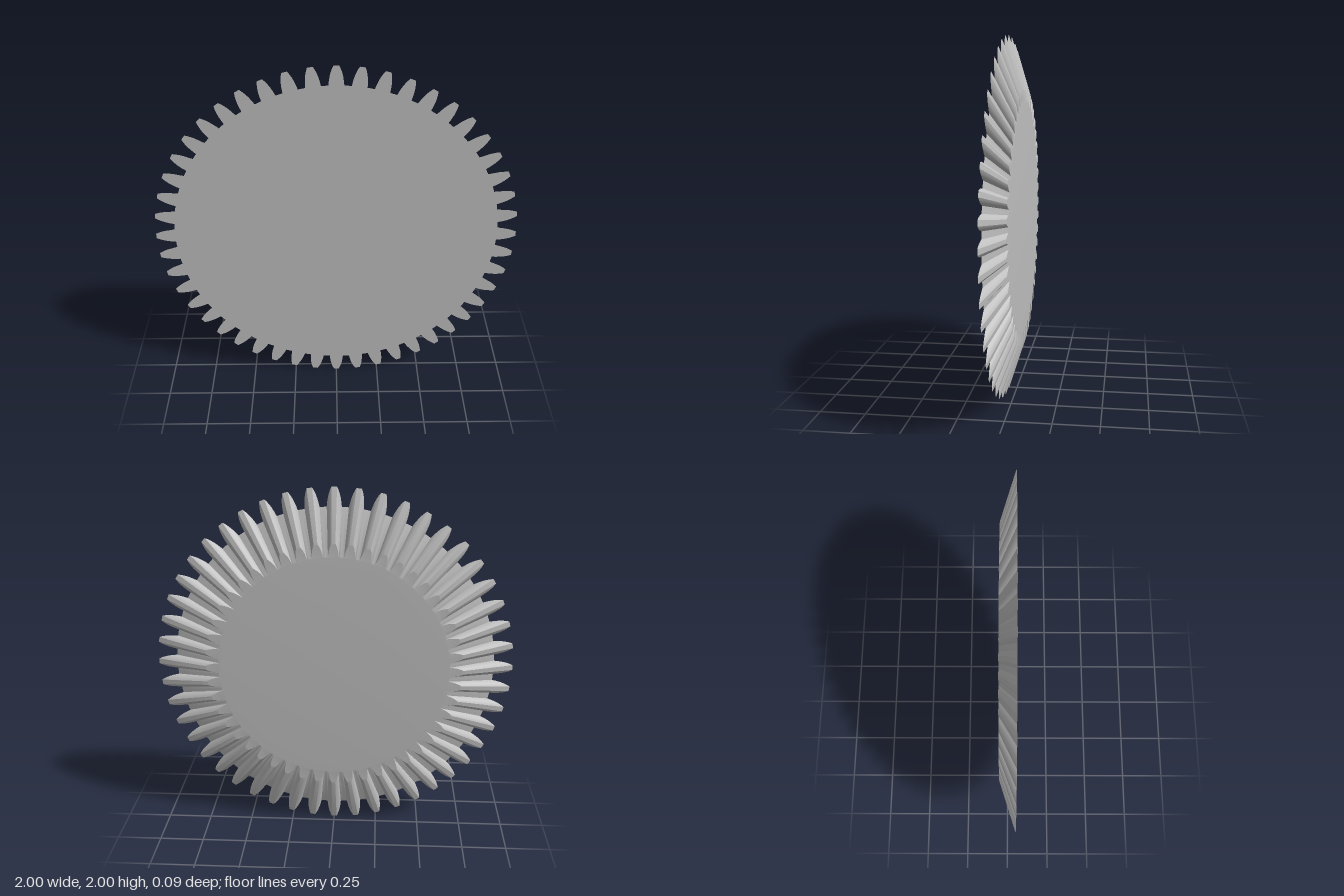
import * as THREE from 'three';
import { toCreasedNormals } from 'three/addons/utils/BufferGeometryUtils.js';

const TEETH = 48;
const DEPTH = 0.09;
const BACK_SCALE = 0.72; // teeth shrink towards the cone apex

// Half of one tooth, root to tip: [radius, half width]
const FLANK = [[0.895, 0.04], [0.92, 0.0375], [0.945, 0.0335], [0.965, 0.0285], [0.985, 0.0215], [1, 0.0145]];

// Outline of the gear at its large front face
function gearOutline() {
  const points = [];
  const add = (r, a) => points.push(new THREE.Vector2(r * Math.cos(a), r * Math.sin(a)));
  const pitch = (Math.PI * 2) / TEETH;
  for (let i = 0; i < TEETH; i++) {
    const a = i * pitch;
    FLANK.forEach(([r, w]) => add(r, a - w / r));
    add(1, a);
    [...FLANK].reverse().forEach(([r, w]) => add(r, a + w / r));
    add(FLANK[0][0], a + pitch / 2); // middle of the gap
  }
  return new THREE.Shape(points);
}

export function createModel() {
  const group = new THREE.Group();
  group.name = 'bevelGear';

  const steel = new THREE.MeshStandardMaterial({ color: 0xbfbfbf });
  steel.name = 'grey steel';

  // Solid toothed disc, tapered from the front face to the back face
  const geometry = new THREE.ExtrudeGeometry(gearOutline(), { depth: DEPTH, bevelEnabled: false });
  geometry.translate(0, 0, -DEPTH / 2);
  const p = geometry.attributes.position;
  for (let i = 0; i < p.count; i++) {
    const s = THREE.MathUtils.mapLinear(p.getZ(i), -DEPTH / 2, DEPTH / 2, BACK_SCALE, 1);
    p.setXY(i, p.getX(i) * s, p.getY(i) * s);
  }
  geometry.clearGroups();

  const gear = new THREE.Mesh(toCreasedNormals(geometry, 0.5), steel);
  gear.name = 'toothedDisc';
  gear.position.y = 1;
  group.add(gear);
  return group;
}
